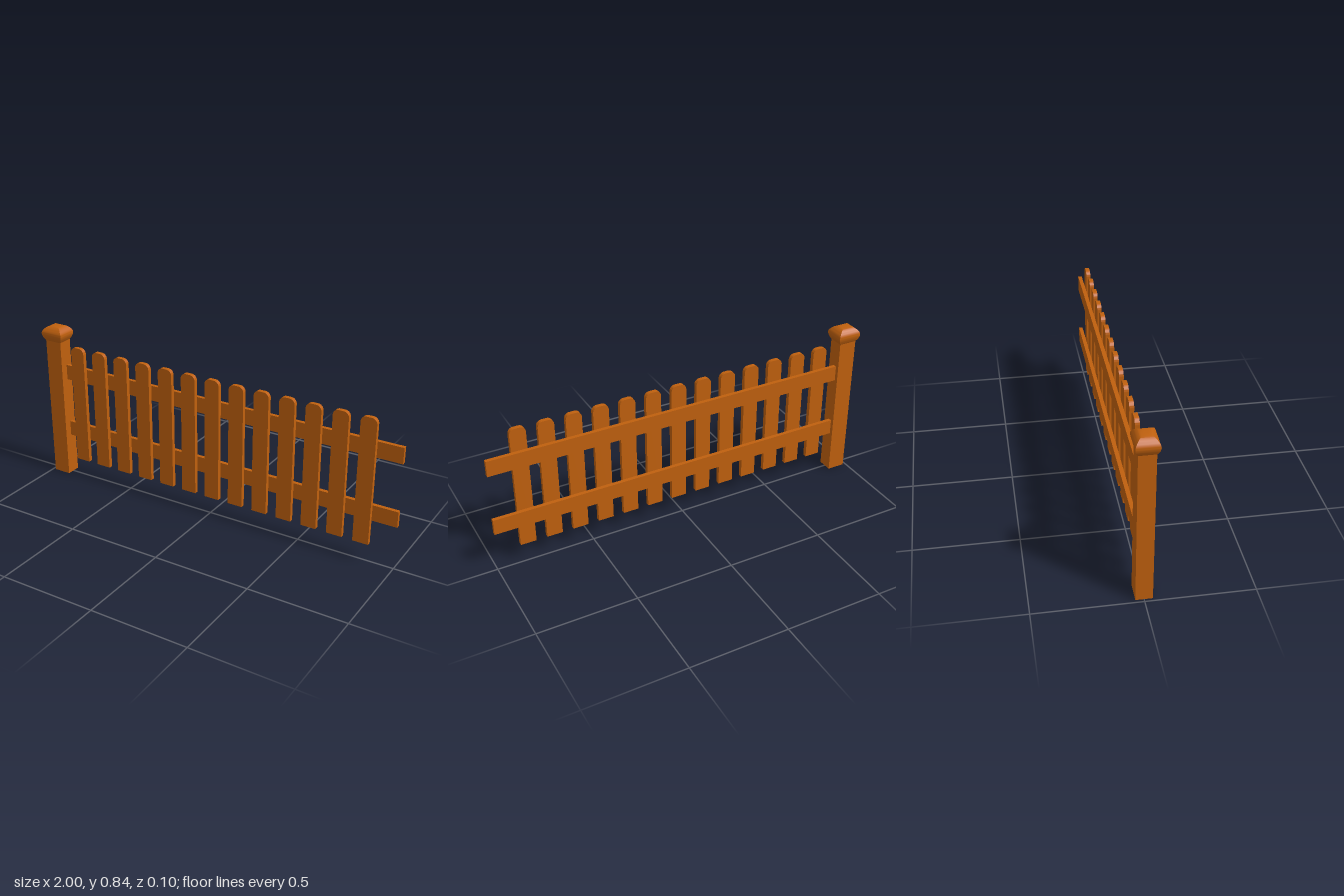
import * as THREE from 'three';
import { toCreasedNormals } from 'three/addons/utils/BufferGeometryUtils.js';

export function createModel() {
  const fence = new THREE.Group();
  fence.name = 'picketFence';
  const wood = new THREE.MeshStandardMaterial({ color: 0xbf600e });
  wood.name = 'warmWood';

  const add = (name, geometry, x, y, z) => {
    const mesh = new THREE.Mesh(geometry, wood);
    mesh.name = name;
    mesh.position.set(x, y, z);
    fence.add(mesh);
    return mesh;
  };

  // Square post at the right end
  const postX = -0.938;
  add('post', new THREE.BoxGeometry(0.094, 0.762, 0.078), postX, 0.381, 0);

  // Bulging four-sided cap: a lathe with four sides, creased at the corners
  const profile = new THREE.SplineCurve([
    [0.039, 0.761], [0.048, 0.779], [0.0525, 0.8], [0.049, 0.815],
    [0.038, 0.83], [0.022, 0.84], [0.0, 0.843],
  ].map(([r, y]) => new THREE.Vector2(r * Math.SQRT2, y))).getPoints(18);
  profile[profile.length - 1].x = 0;
  const cap = new THREE.LatheGeometry(profile, 4, Math.PI / 4);
  cap.scale(0.0625 / 0.0525, 1, 1);
  add('postCap', toCreasedNormals(cap, 0.55), postX, 0, 0);

  // Two rails behind the pickets, running into the post
  for (const [name, y] of [['lowerRail', 0.261], ['upperRail', 0.587]]) {
    add(name, new THREE.BoxGeometry(1.91, 0.081, 0.02), 0.045, y, -0.01);
  }

  // Round-shouldered pickets
  const w = 0.04, top = 0.645, r = 0.028;
  const outline = new THREE.Shape();
  outline.moveTo(-w, 0);
  outline.lineTo(w, 0);
  outline.lineTo(w, top - r);
  outline.absarc(w - r, top - r, r, 0, Math.PI / 2, false);
  outline.lineTo(r - w, top);
  outline.absarc(r - w, top - r, r, Math.PI / 2, Math.PI, false);
  outline.closePath();
  const picket = toCreasedNormals(
    new THREE.ExtrudeGeometry(outline, { depth: 0.022, bevelEnabled: false, curveSegments: 6 }), 0.6);
  for (let i = 0; i < 13; i++) {
    add(`picket${i + 1}`, picket, -0.797 + i * 0.1359, 0.1, 0);
  }

  return fence;
}
